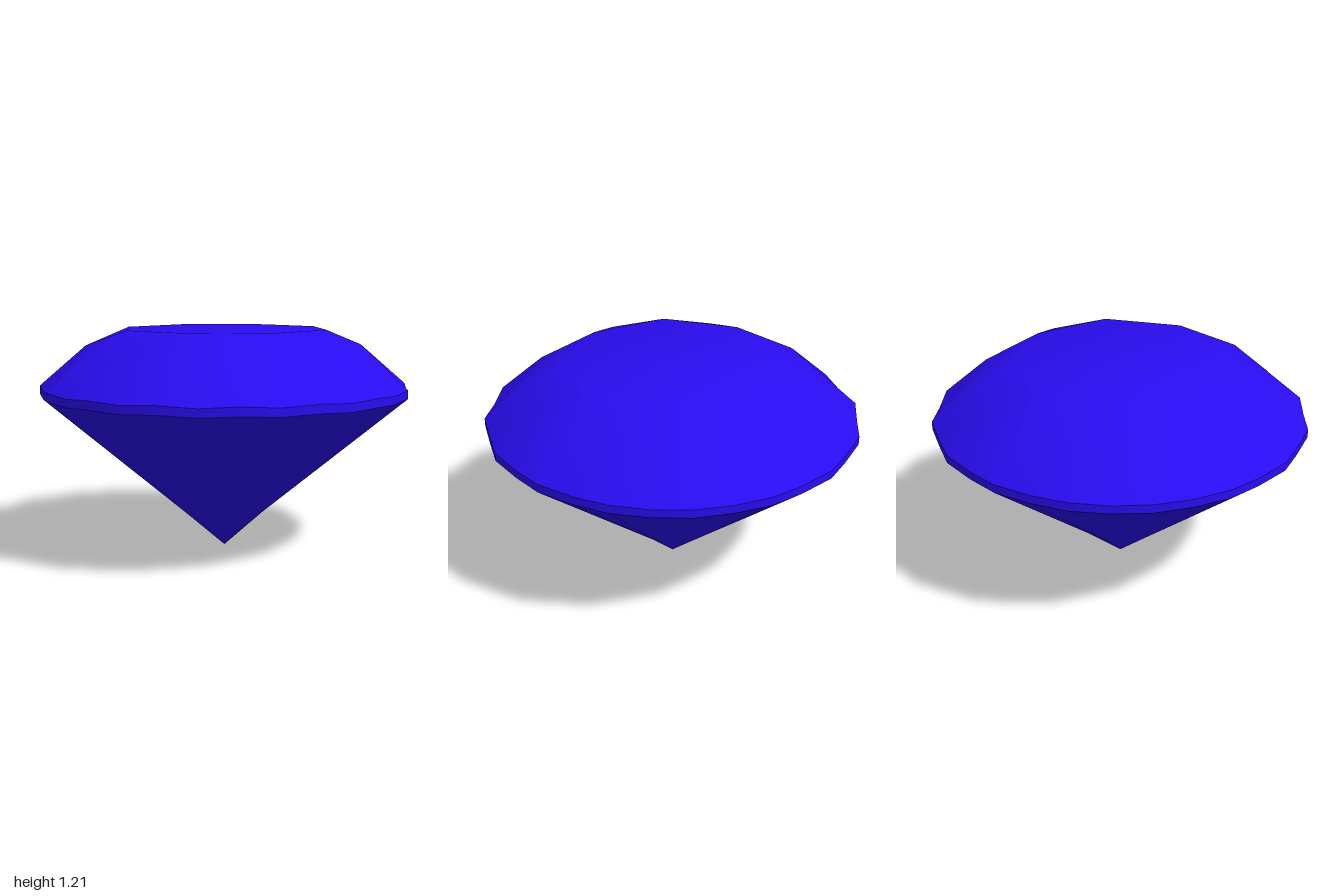
import * as THREE from 'three';

const TAU = Math.PI * 2;

// ring of n points; offset is in steps
function ring(n, radius, y, offset = 0) {
  return Array.from({ length: n }, (_, i) => {
    const a = ((i + offset) / n) * TAU;
    return [radius * Math.sin(a), y, radius * Math.cos(a)];
  });
}

// 16-sided girdle outline with a slightly shifted point midway along each side
function girdleRing(yCorner, yMiddle) {
  const inner = Math.cos(Math.PI / 16);
  return Array.from({ length: 32 }, (_, i) => {
    const a = (i / 32) * TAU;
    const r = i % 2 ? inner : 1;
    return [r * Math.sin(a), i % 2 ? yMiddle : yCorner, r * Math.cos(a)];
  });
}

// indexed, smooth-shaded mesh from shared points and polygon facets
function facetMesh(name, facets, material) {
  const ids = new Map();
  const positions = [];
  const index = [];
  const id = (p) => {
    if (!ids.has(p)) {
      ids.set(p, positions.length / 3);
      positions.push(...p);
    }
    return ids.get(p);
  };
  for (const f of facets) {
    for (let i = 1; i < f.length - 1; i++) index.push(id(f[0]), id(f[i]), id(f[i + 1]));
  }
  const geometry = new THREE.BufferGeometry();
  geometry.setAttribute('position', new THREE.Float32BufferAttribute(positions, 3));
  geometry.setIndex(index);
  geometry.computeVertexNormals();
  const mesh = new THREE.Mesh(geometry, material);
  mesh.name = name;
  return mesh;
}

export function createModel() {
  const material = new THREE.MeshStandardMaterial({ color: 0x2a0cf0 });
  const upper = girdleRing(0.9, 0.888);
  const lower = girdleRing(0.855, 0.845);
  const table = ring(8, 0.565, 1.205);
  const bezel = ring(8, 0.75, 1.115, 0.5);
  const pavilionMid = ring(8, 0.21, 0.18, 0.5);
  const centre = [0, 1.205, 0];
  const culet = [0, 0, 0];

  const crown = [];
  const girdle = [];
  const pavilion = [];
  for (let k = 0; k < 8; k++) {
    const next = (k + 1) % 8;
    const prev = (k + 7) % 8;
    // table, star and kite facets
    crown.push([centre, table[k], table[next]]);
    crown.push([table[k], bezel[k], table[next]]);
    crown.push([table[k], bezel[prev], upper[4 * k], bezel[k]]);
    // main pavilion facets
    pavilion.push([culet, pavilionMid[k], pavilionMid[prev]]);
    pavilion.push([pavilionMid[k], lower[4 * k], pavilionMid[prev]]);
    // facets meeting the girdle from above and below
    for (let i = 4 * k; i < 4 * k + 4; i++) {
      const j = (i + 1) % 32;
      crown.push([bezel[k], upper[i], upper[j]]);
      pavilion.push([pavilionMid[k], lower[j], lower[i]]);
      girdle.push([lower[i], lower[j], upper[j], upper[i]]);
    }
  }

  const gem = new THREE.Group();
  gem.name = 'brilliantCutGem';
  gem.add(
    facetMesh('crown', crown, material),
    facetMesh('girdle', girdle, material),
    facetMesh('pavilion', pavilion, material),
  );
  return gem;
}
